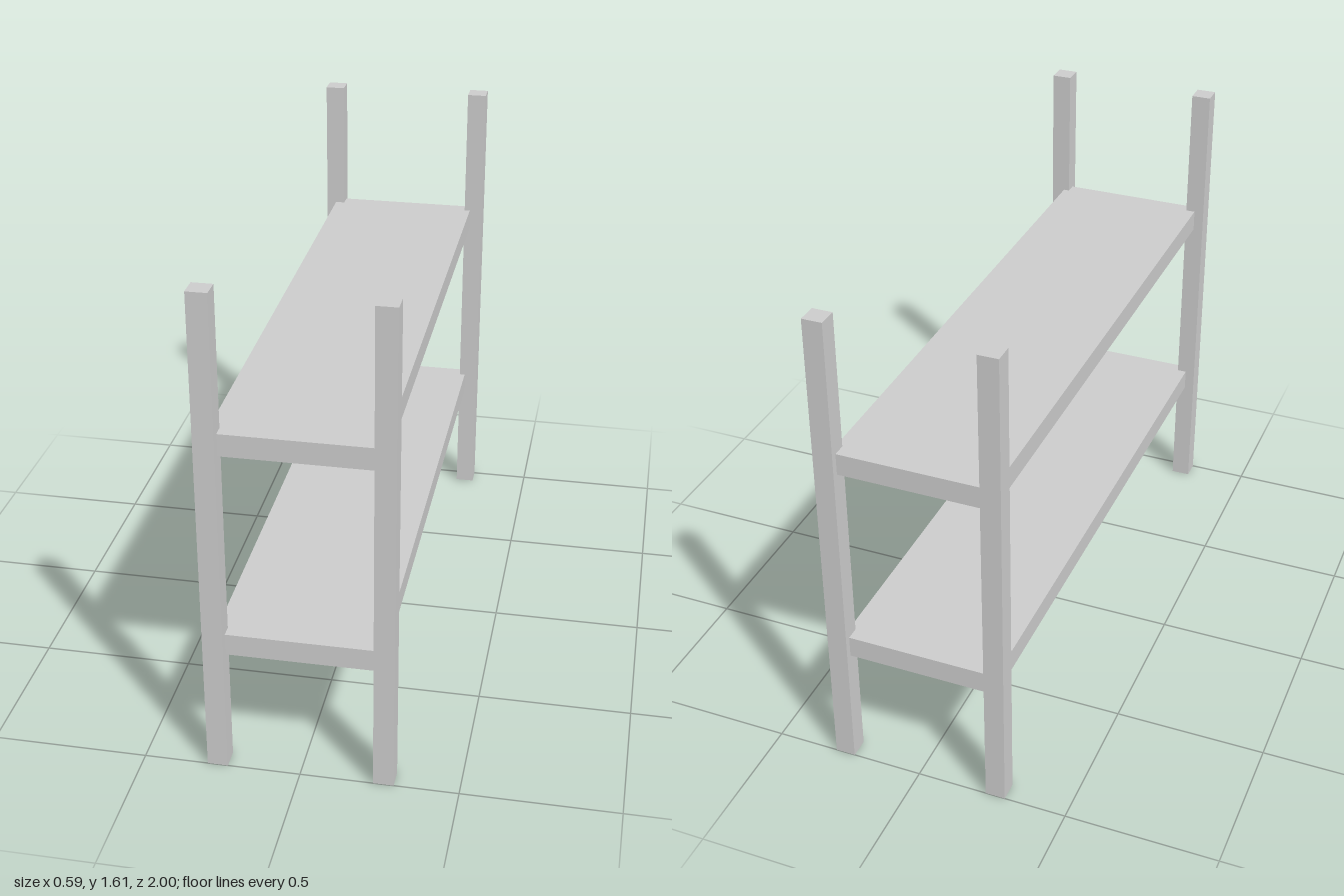
import * as THREE from 'three';

const material = new THREE.MeshStandardMaterial({ color: 0xcccccc, side: THREE.DoubleSide });

// Thin-walled box, closed on top and open underneath
function openBox(name, [x0, x1], [y0, y1], [z0, z1]) {
  const geometry = new THREE.BoxGeometry(x1 - x0, y1 - y0, z1 - z0);
  const index = Array.from(geometry.index.array);
  index.splice(18, 6); // drop the bottom face
  geometry.setIndex(index);
  geometry.clearGroups();
  const mesh = new THREE.Mesh(geometry, material);
  mesh.name = name;
  mesh.position.set((x0 + x1) / 2, (y0 + y1) / 2, (z0 + z1) / 2);
  return mesh;
}

export function createModel() {
  const model = new THREE.Group();
  model.name = 'shelfRack';

  // Four corner posts
  const half = 0.0325, px = 0.264, pz = 0.9675, height = 1.614;
  for (const [xName, sx] of [['Left', 1], ['Right', -1]]) {
    for (const [zName, sz] of [['front', 1], ['back', -1]]) {
      const x = sx * px, z = sz * pz;
      model.add(openBox(`${zName}${xName}Post`, [x - half, x + half], [0, height], [z - half, z + half]));
    }
  }

  // Two shelves, hollow below, running into the posts
  for (const [name, bottom, top] of [['lowerShelf', 0.405, 0.477], ['upperShelf', 1.094, 1.166]]) {
    model.add(openBox(name, [-0.263, 0.251], [bottom, top], [-0.979, 0.973]));
  }
  return model;
}
